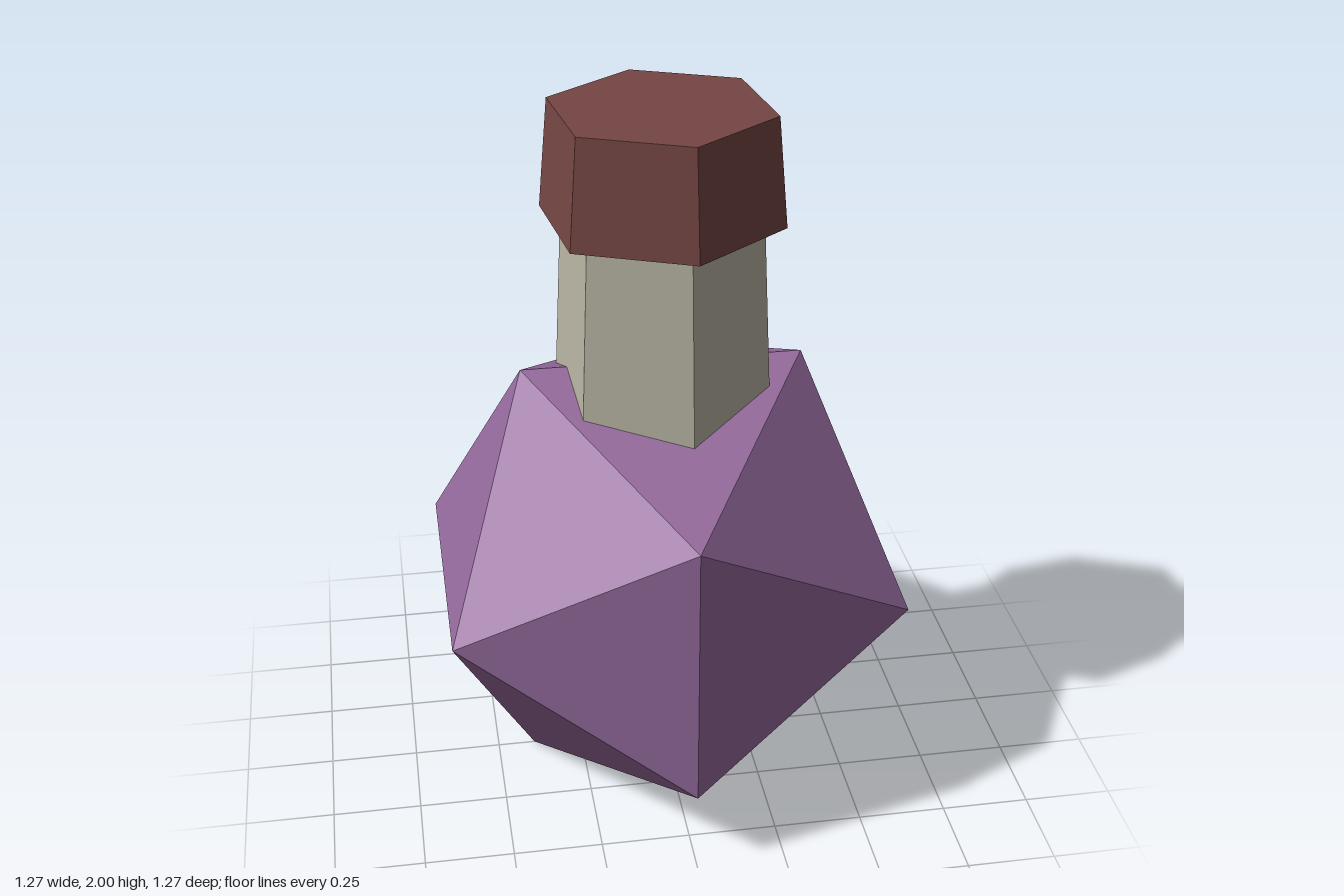
import * as THREE from 'three';

export function createModel() {
  const group = new THREE.Group();
  const material = (name, color) => {
    const m = new THREE.MeshStandardMaterial({ color, flatShading: true });
    m.name = name;
    return m;
  };
  const purple = material('purple', 0x94699c);
  const stone = material('pale grey', 0xb8b4a3);
  const brown = material('red brown', 0x744643);

  const add = (name, geometry, mat, y) => {
    const mesh = new THREE.Mesh(geometry, mat);
    mesh.name = name;
    mesh.position.y = y;
    group.add(mesh);
    return mesh;
  };

  // Faceted flask body resting on its lower edge
  add('body', new THREE.IcosahedronGeometry(0.746, 0), purple, 0.635);

  // Tapered six-sided parts share the same slight twist
  const hexPart = (name, rTop, rBottom, y0, y1, mat) => {
    const geometry = new THREE.CylinderGeometry(rTop, rBottom, y1 - y0, 6);
    add(name, geometry, mat, (y0 + y1) / 2).rotation.y = 0.131;
  };
  hexPart('neck', 0.279, 0.315, 1.0, 1.72, stone);
  hexPart('stopper', 0.311, 0.339, 1.695, 2.0, brown);

  return group;
}
